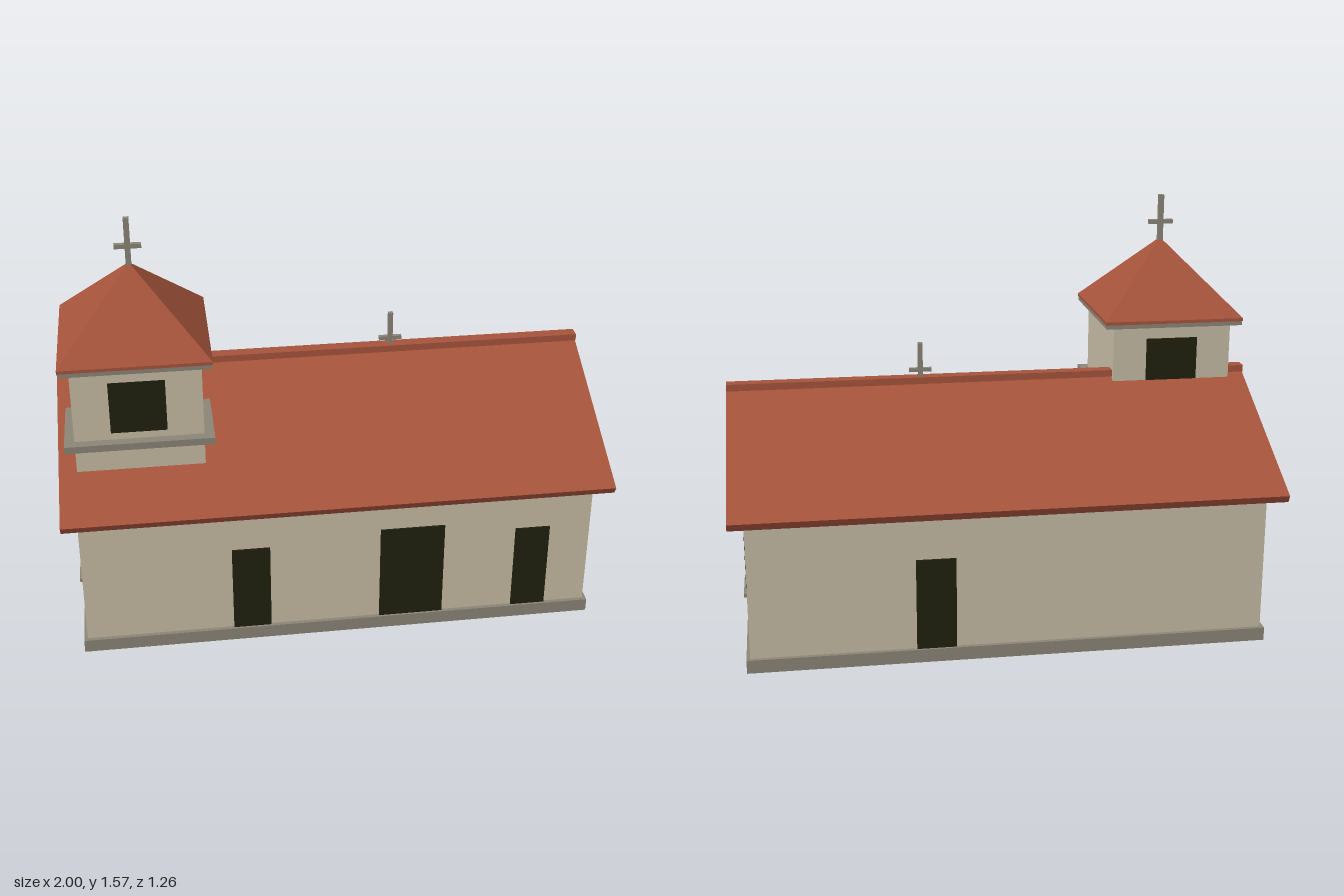
import * as THREE from 'three';

const mat = (name, color) => {
  const m = new THREE.MeshStandardMaterial({ color });
  m.name = name;
  return m;
};

export function createModel() {
  const plaster = mat('plaster', 0xc6bba4);
  const tile = mat('roofTile', 0xa5533b);
  const stone = mat('stone', 0x8b8577);
  const dark = mat('darkOpening', 0x1f1f0e);
  const floorGrey = mat('floorGrey', 0x66635f);

  const model = new THREE.Group();
  model.name = 'chapel';

  const add = (name, geo, material, parent = model) => {
    const m = new THREE.Mesh(geo, material);
    m.name = name;
    parent.add(m);
    return m;
  };
  // Box given by its limits on each axis
  const box = (name, material, x0, x1, y0, y1, z0, z1, parent) => {
    const m = add(name, new THREE.BoxGeometry(x1 - x0, y1 - y0, z1 - z0), material, parent);
    m.position.set((x0 + x1) / 2, (y0 + y1) / 2, (z0 + z1) / 2);
    return m;
  };
  const polygon = (pts) => new THREE.Shape(pts.map(([x, y]) => new THREE.Vector2(x, y)));
  const extrude = (shape, depth) =>
    new THREE.ExtrudeGeometry(shape, { depth, bevelEnabled: false });

  const W = 0.945, D = 0.54, H = 0.6, T = 0.12;

  // Long walls, notched from the ground for the doors [x0, x1, top]
  const longWall = (name, doors, side) => {
    const pts = [[-W, 0]];
    for (const [a, b, top] of doors) pts.push([a, 0], [a, top], [b, top], [b, 0]);
    pts.push([W, 0], [W, H], [-W, H]);
    const wall = add(name, extrude(polygon(pts), T), plaster);
    wall.position.z = side > 0 ? D - T : -D;
    for (const [a, b, top] of doors) {
      const z = [side * (D - 0.002), side * (D + 0.007)].sort((p, q) => p - q);
      box('door', dark, a, b, 0.002, top, z[0], z[1]);
    }
  };
  longWall('frontWall', [[-0.4, -0.26, 0.395], [0.15, 0.39, 0.435], [0.66, 0.79, 0.395]], 1);
  longWall('backWall', [[0.2, 0.345, 0.395]], -1);

  // End walls with three windows and sills each
  for (const s of [-1, 1]) {
    const end = new THREE.Group();
    end.name = s > 0 ? 'leftEnd' : 'rightEnd';
    model.add(end);
    const xs = (a, b) => (s > 0 ? [a, b] : [-b, -a]);
    box('endWall', plaster, ...xs(W - T, W), 0, H, -D + T, D - T, end);
    for (const z of [-0.405, 0, 0.405]) {
      box('window', dark, ...xs(W - 0.001, W + 0.003), 0.275, 0.515, z - 0.069, z + 0.069, end);
      box('windowSill', stone, ...xs(W - 0.002, W + 0.012), 0.262, 0.275, z - 0.072, z + 0.072, end);
    }
  }

  // Plinth ring and floor
  const PW = 0.958, PD = 0.555;
  for (const s of [-1, 1]) {
    const z = s > 0 ? [D, PD] : [-PD, -D];
    const x = s > 0 ? [W, PW] : [-PW, -W];
    box('plinthLong', stone, -PW, PW, 0, 0.05, ...z);
    box('plinthEnd', stone, ...x, 0, 0.05, -D, D);
  }
  box('floor', floorGrey, -W + T, W - T, 0.055, 0.065, -D + T, D - T);

  // Gabled roof: cross-section swept along x
  const roof = add('mainRoof', extrude(polygon([
    [0, 0.905], [-0.628, 0.598], [-0.613, 0.57], [0, 0.872], [0.613, 0.57], [0.628, 0.598],
  ]), 2), tile);
  roof.rotation.y = Math.PI / 2;
  roof.position.x = -1;
  box('ridgeCap', tile, -1, 1, 0.9, 0.926, -0.024, 0.024);

  // Bell tower
  const tower = new THREE.Group();
  tower.name = 'tower';
  tower.position.set(-0.705, 0, 0.19);
  model.add(tower);
  const R = 0.23, E = 0.266;
  box('towerWalls', plaster, -R, R, 0.065, 1.12, -R, R, tower);
  for (const [y0, y1] of [[0.55, 0.576], [0.798, 0.824], [1.1, 1.116]]) {
    box('towerBand', stone, -E, E, y0, y1, -E, E, tower);
  }
  box('towerEave', tile, -E - 0.002, E + 0.002, 1.116, 1.128, -E - 0.002, E + 0.002, tower);
  const spire = new THREE.ConeGeometry((E + 0.002) * Math.SQRT2, 0.275, 4, 1).toNonIndexed();
  spire.computeVertexNormals();
  spire.rotateY(Math.PI / 4);
  add('towerRoof', spire, tile, tower).position.y = 1.128 + 0.1375;

  // Tower openings on the front, back and outer sides
  for (const a of [0, Math.PI, -Math.PI / 2]) {
    const face = new THREE.Group();
    face.name = 'belfryOpening';
    face.rotation.y = a;
    tower.add(face);
    box('opening', dark, -0.1, 0.1, 0.85, 1.05, R - 0.002, R + 0.001, face);
  }

  // Crosses on the tower and the ridge
  const cross = (name, x, z, y0, y1, bar, half, r) => {
    const g = new THREE.Group();
    g.name = name;
    g.position.set(x, 0, z);
    model.add(g);
    box('crossPost', stone, -r, r, y0, y1, -r, r, g);
    box('crossBar', stone, -half, half, bar - r * 0.8, bar + r * 0.8, -r * 0.9, r * 0.9, g);
  };
  cross('towerCross', -0.705, 0.19, 1.38, 1.57, 1.465, 0.048, 0.01);
  cross('ridgeCross', 0.268, 0, 0.92, 1.056, 0.951, 0.043, 0.009);

  return model;
}
